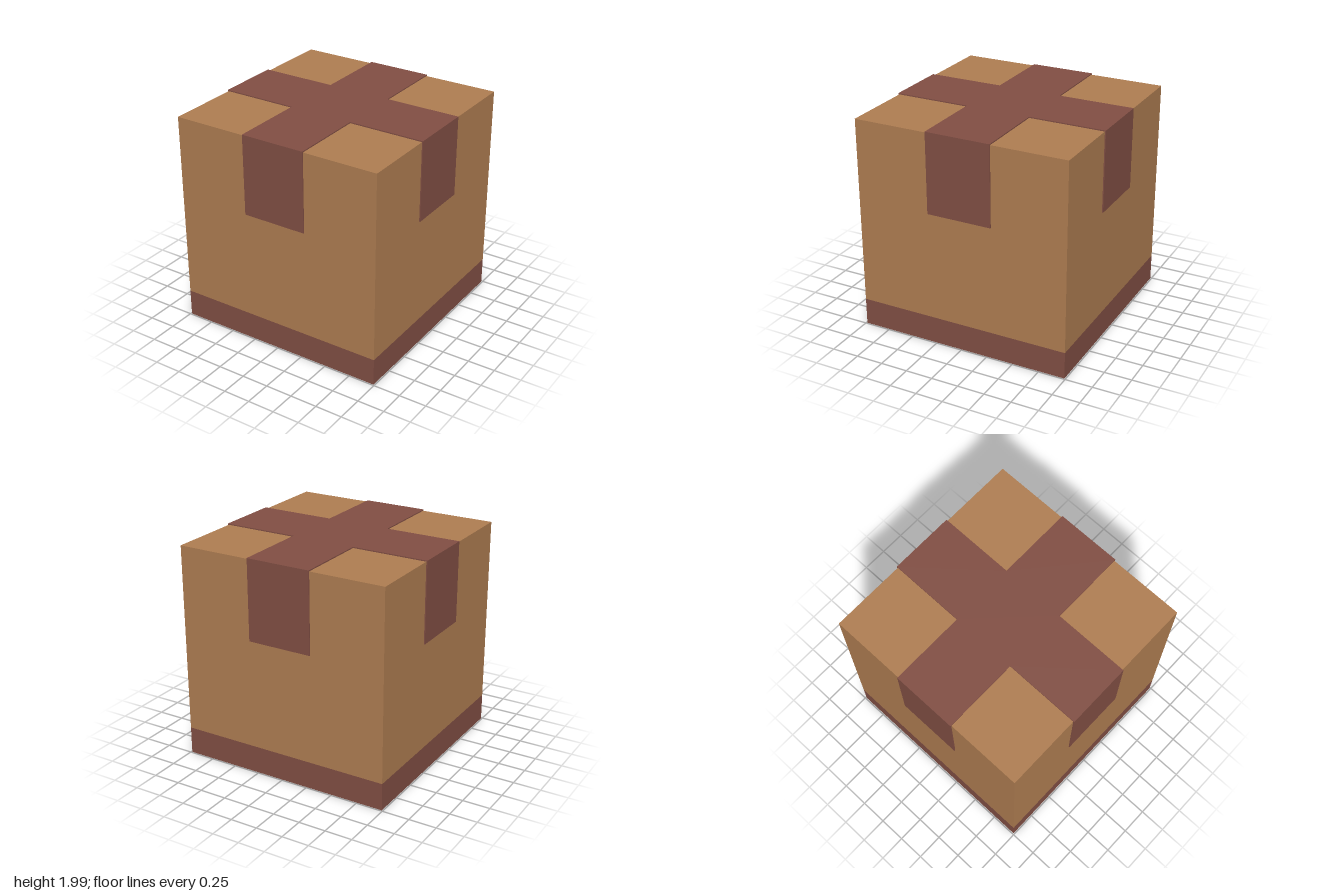
import * as THREE from 'three';

const HALF = 0.99;    // half width of the crate
const HEIGHT = 1.98;
const BASE = 0.25;    // height of the dark base
const STRAP = 0.3;    // half width of the straps
const THICK = 0.01;   // strap thickness
const DROP = 1.25;    // lower end of the straps

export function createModel() {
  const tan = new THREE.MeshStandardMaterial({ color: 0xb07e52 });
  tan.name = 'tan';
  const brown = new THREE.MeshStandardMaterial({ color: 0x824f44 });
  brown.name = 'reddish brown';

  const model = new THREE.Group();
  model.name = 'crate';
  const add = (name, geometry, material, parent = model) => {
    const mesh = new THREE.Mesh(geometry, material);
    mesh.name = name;
    parent.add(mesh);
    return mesh;
  };

  // Body: dark base below, tan box above
  add('base', new THREE.BoxGeometry(2 * HALF, BASE, 2 * HALF), brown).position.y = BASE / 2;
  add('body', new THREE.BoxGeometry(2 * HALF, HEIGHT - BASE, 2 * HALF), tan)
    .position.y = (HEIGHT + BASE) / 2;

  // Cross of straps lying on the top
  const end = HALF + THICK;
  const s = STRAP;
  const cross = new THREE.Shape([
    [s, s], [s, end], [-s, end], [-s, s], [-end, s], [-end, -s],
    [-s, -s], [-s, -end], [s, -end], [s, -s], [end, -s], [end, s],
  ].map(([x, y]) => new THREE.Vector2(x, y)));
  const crossGeometry = new THREE.ExtrudeGeometry(cross, { depth: THICK, bevelEnabled: false });
  crossGeometry.rotateX(-Math.PI / 2);
  add('topStraps', crossGeometry, brown).position.y = HEIGHT;

  // Strap ends hanging down each side
  const dropGeometry = new THREE.BoxGeometry(2 * STRAP, HEIGHT - DROP, THICK);
  ['front', 'left', 'back', 'right'].forEach((side, i) => {
    const holder = new THREE.Group();
    holder.name = side + 'Strap';
    holder.rotation.y = i * Math.PI / 2;
    add(side + 'StrapEnd', dropGeometry, brown, holder)
      .position.set(0, (HEIGHT + DROP) / 2, HALF + THICK / 2);
    model.add(holder);
  });

  return model;
}
